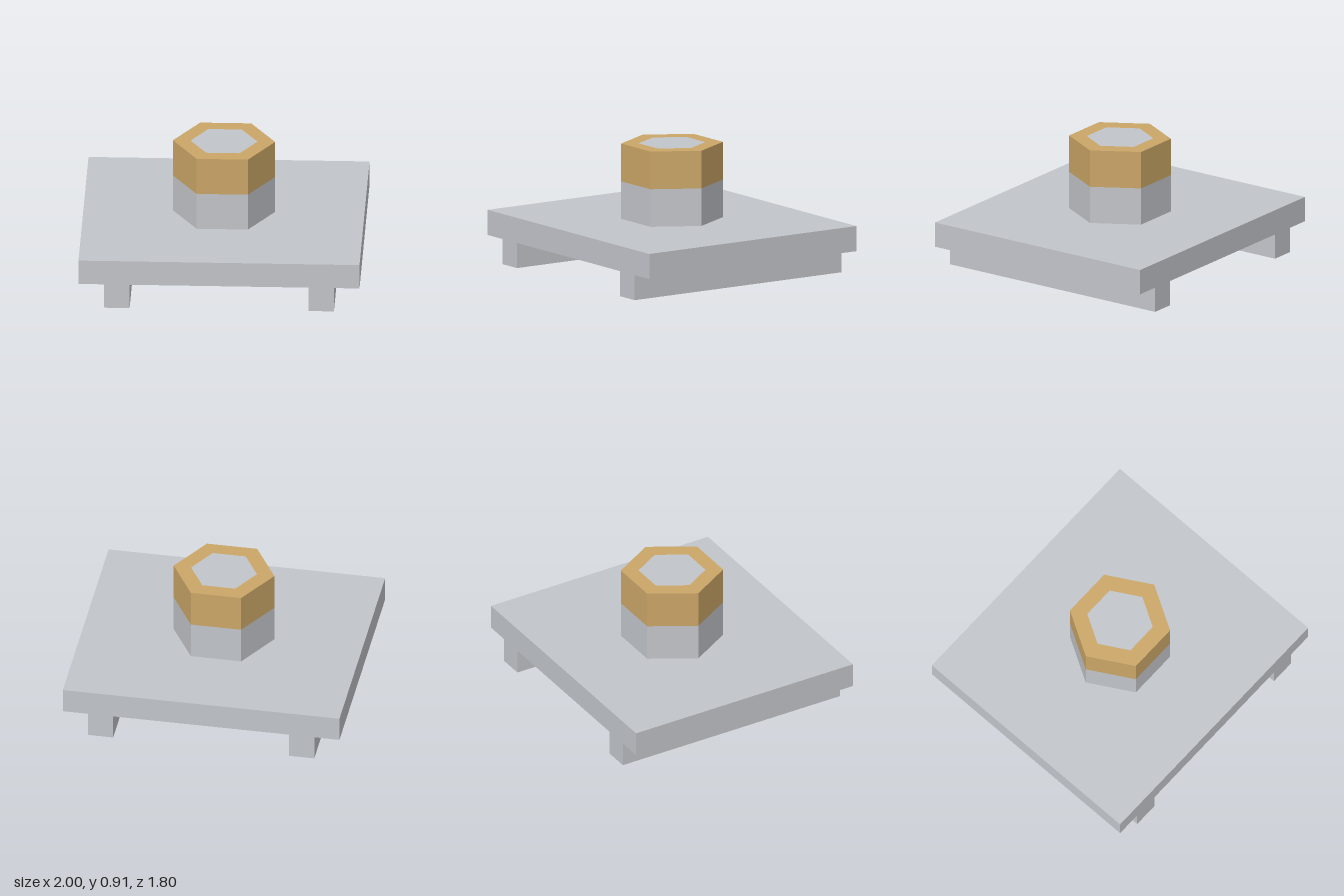
import * as THREE from 'three';

export function createModel() {
  const steel = new THREE.MeshStandardMaterial({ color: 0xc2c5ca });
  steel.name = 'steel grey';
  const brass = new THREE.MeshStandardMaterial({ color: 0xcba667 });
  brass.name = 'brass';

  const RIB_TOP = 0.182, PLATE_TOP = 0.364, BAND = 0.636, TOP = 0.909;
  const HEX_R = 0.364, INSET_R = 0.238, DEPTH = 1.8;

  const model = new THREE.Group();
  model.name = 'platformWithHexPost';

  function add(name, geometry, material, x = 0, y = 0) {
    const mesh = new THREE.Mesh(geometry, material);
    mesh.name = name;
    mesh.position.set(x, y, 0);
    model.add(mesh);
  }

  // Hexagonal prism with corners on the x axis
  function hexPrism(name, y0, y1, material, open) {
    const g = new THREE.CylinderGeometry(HEX_R, HEX_R, y1 - y0, 6, 1, open, Math.PI / 2).toNonIndexed();
    g.computeVertexNormals();
    add(name, g, material, 0, (y0 + y1) / 2);
  }

  // Base plate and the two rails beneath it
  add('basePlate', new THREE.BoxGeometry(2, PLATE_TOP - RIB_TOP, DEPTH), steel, 0, (RIB_TOP + PLATE_TOP) / 2);
  for (const side of [-1, 1]) {
    add(side > 0 ? 'leftRail' : 'rightRail',
      new THREE.BoxGeometry(0.182, RIB_TOP, DEPTH), steel, side * 0.727, RIB_TOP / 2);
  }

  // Hex post: foot under the plate, grey shaft, brass band
  hexPrism('postFoot', 0, RIB_TOP, brass, false);
  hexPrism('postShaft', PLATE_TOP, BAND, steel, true);
  hexPrism('postBand', BAND, TOP, brass, true);

  // Flush top: brass rim around a grey hexagon
  add('postRim', new THREE.RingGeometry(INSET_R, HEX_R, 6).rotateX(-Math.PI / 2), brass, 0, TOP);
  add('postCore', new THREE.CircleGeometry(INSET_R, 6).rotateX(-Math.PI / 2), steel, 0, TOP);

  return model;
}
